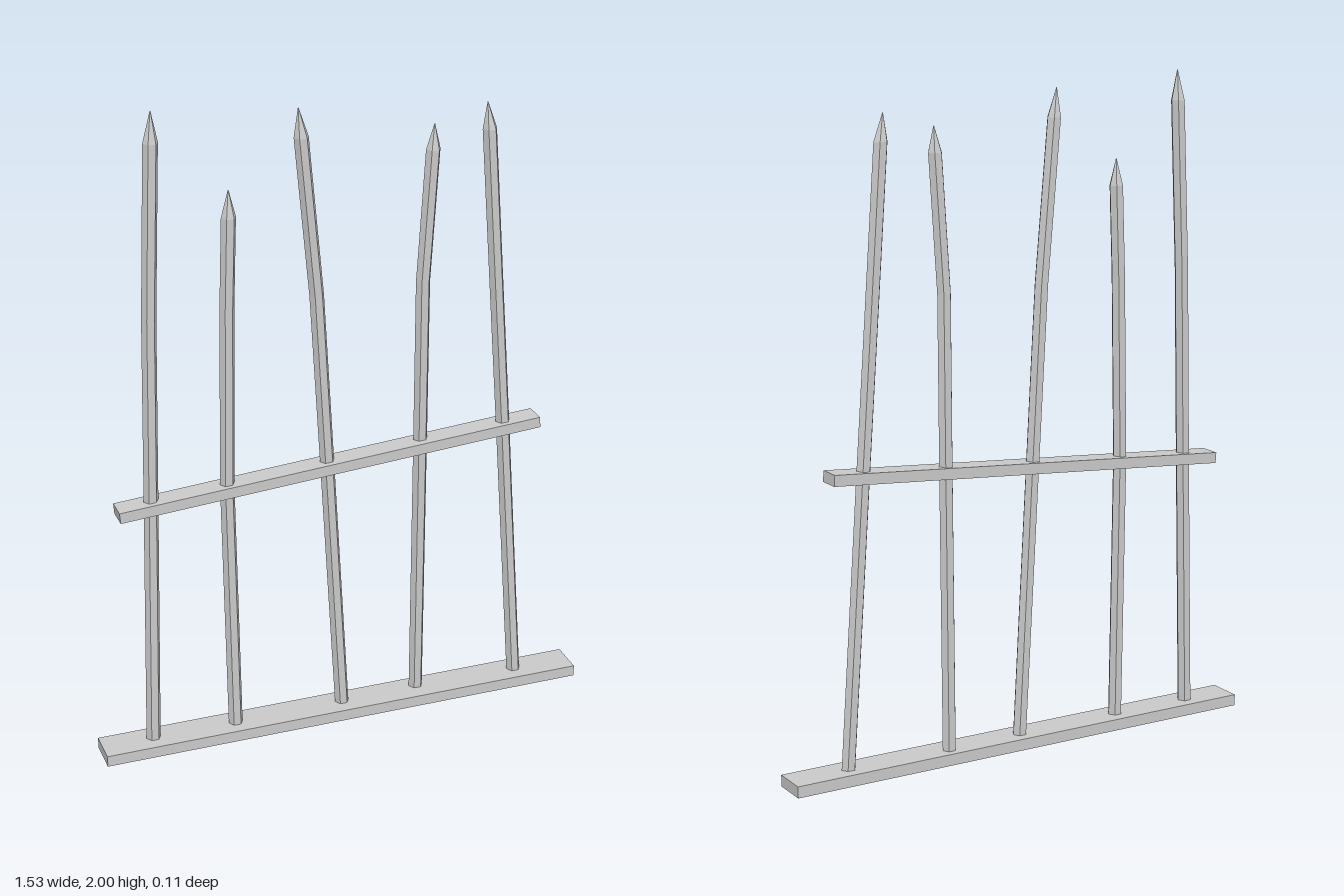
import * as THREE from 'three';

const material = new THREE.MeshStandardMaterial({ color: 0xcccccc, flatShading: true });
const RADIUS = 0.022;

// Six-sided bar bent through [x, y, z] points from foot to shoulder to tip
function bentBar(points) {
  const rows = points.length - 1;
  const geo = new THREE.CylinderGeometry(1, 1, rows, 6, rows, true, Math.PI / 2);
  const pos = geo.attributes.position;
  for (let i = 0; i < pos.count; i++) {
    const row = Math.round(pos.getY(i) + rows / 2);
    const [x, y, z] = points[row];
    const r = row === rows ? 0.001 : RADIUS;
    pos.setXYZ(i, x + pos.getX(i) * r, y, z + pos.getZ(i) * r);
  }
  geo.computeVertexNormals();
  return new THREE.Mesh(geo, material);
}

function box(name, w, h, d, x, y, tilt = 0) {
  const mesh = new THREE.Mesh(new THREE.BoxGeometry(w, h, d), material);
  mesh.name = name;
  mesh.position.set(x, y, 0);
  mesh.rotation.z = tilt;
  return mesh;
}

export function createModel() {
  const group = new THREE.Group();
  group.name = 'bentFence';

  // Ground sill and slanted cross rail
  group.add(box('baseSill', 1.53, 0.035, 0.11, 0, 0.0175));
  group.add(box('crossRail', 1.315, 0.033, 0.07, -0.033, 0.858, Math.atan2(0.095, 1.31)));

  // Crooked pointed bars: foot, rail height, bend, shoulder, tip
  const bars = [
    [[-0.606, 0.02, -0.003], [-0.586, 0.84, -0.001], [-0.573, 1.4, 0], [-0.551, 1.91, 0], [-0.548, 2.0, 0]],
    [[-0.346, 0.02, 0], [-0.356, 0.84, 0], [-0.345, 1.4, 0], [-0.335, 1.67, 0], [-0.334, 1.75, 0]],
    [[0.001, 0.02, -0.005], [-0.046, 0.86, -0.002], [-0.077, 1.4, 0], [-0.122, 1.88, 0.005], [-0.13, 1.965, 0.005]],
    [[0.249, 0.02, -0.014], [0.25, 0.88, -0.007], [0.25, 1.4, -0.003], [0.272, 1.8, 0.004], [0.275, 1.875, 0.005]],
    [[0.579, 0.02, -0.003], [0.516, 0.89, -0.001], [0.478, 1.4, 0], [0.446, 1.84, 0], [0.438, 1.92, 0]],
  ];
  bars.forEach((points, i) => {
    const bar = bentBar(points);
    bar.name = `pointedBar${i + 1}`;
    group.add(bar);
  });

  return group;
}
